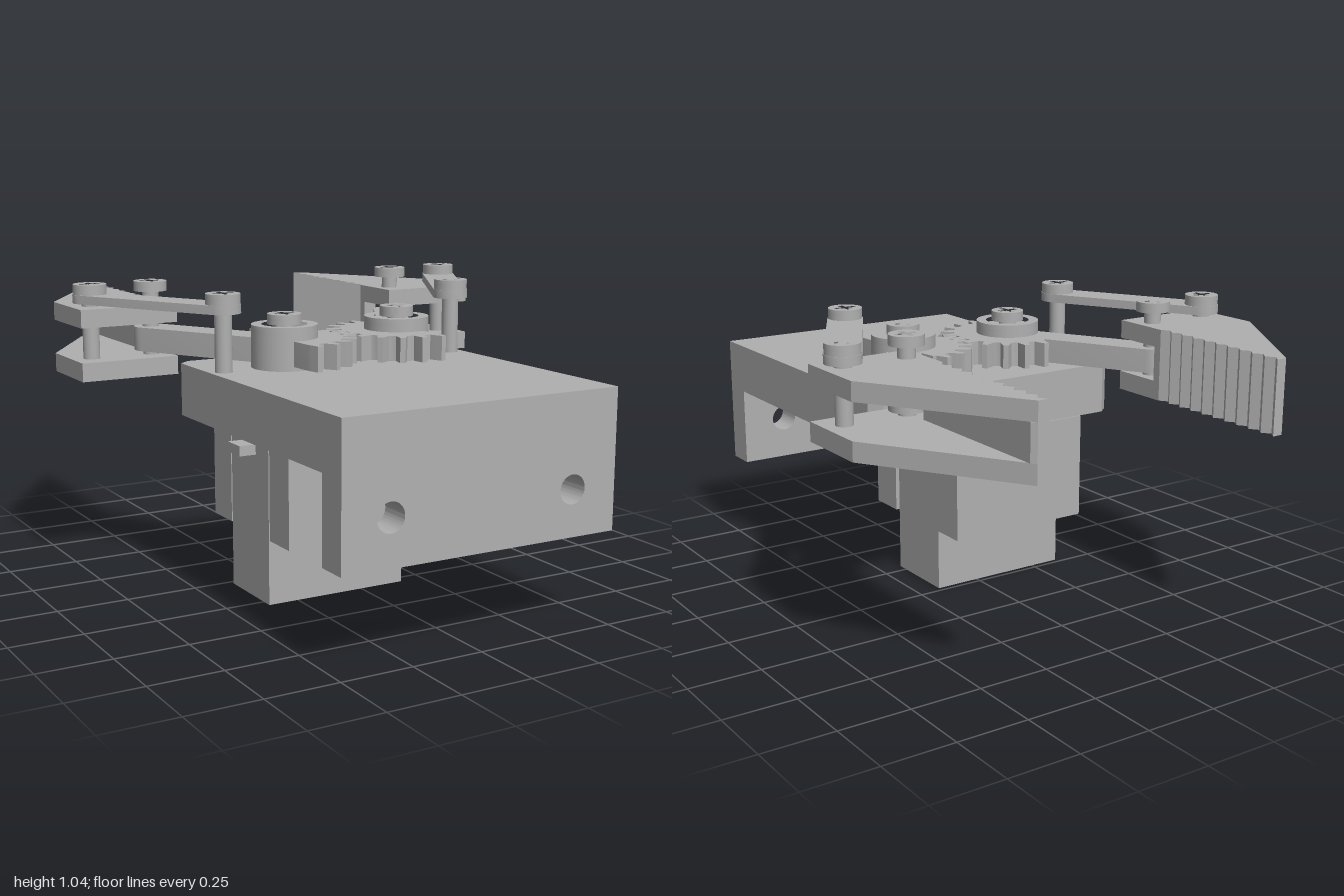
import * as THREE from 'three';
import { toCreasedNormals } from 'three/addons/utils/BufferGeometryUtils.js';

const grey = new THREE.MeshStandardMaterial({ color: 0xb0b0b0 });
grey.name = 'plain grey';

function add(parent, name, geometry) {
  const mesh = new THREE.Mesh(geometry, grey);
  mesh.name = name;
  parent.add(mesh);
  return mesh;
}

function box(parent, name, x0, x1, y0, y1, z0, z1) {
  const mesh = add(parent, name, new THREE.BoxGeometry(x1 - x0, y1 - y0, z1 - z0));
  mesh.position.set((x0 + x1) / 2, (y0 + y1) / 2, (z0 + z1) / 2);
}

function rod(parent, name, x, z, r, y0, y1) {
  const mesh = add(parent, name, new THREE.CylinderGeometry(r, r, y1 - y0, 32));
  mesh.position.set(x, (y0 + y1) / 2, z);
}

// Points are [x, z]; the slab is extruded upwards from y0 to y1
const toShape = (pts) => pts.map(([x, z]) => new THREE.Vector2(x, -z));

function slab(parent, name, pts, y0, y1, holes = []) {
  const shape = new THREE.Shape(toShape(pts));
  shape.holes = holes.map((h) => new THREE.Path(toShape(h)));
  const geo = new THREE.ExtrudeGeometry(shape, { depth: y1 - y0, bevelEnabled: false });
  geo.rotateX(-Math.PI / 2);
  geo.translate(0, y0, 0);
  return add(parent, name, toCreasedNormals(geo, 0.4));
}

function circle(x, z, r, n = 32) {
  return Array.from({ length: n }, (_, i) => {
    const a = (i / n) * Math.PI * 2;
    return [x + r * Math.cos(a), z + r * Math.sin(a)];
  });
}

// Bar with round ends between two pivots
function capsule([ax, az], [bx, bz], r) {
  const dir = Math.atan2(bz - az, bx - ax), pts = [];
  for (const [x, z, start] of [[bx, bz, dir - Math.PI / 2], [ax, az, dir + Math.PI / 2]])
    for (let i = 0; i <= 14; i++) {
      const a = start + (i / 14) * Math.PI;
      pts.push([x + r * Math.cos(a), z + r * Math.sin(a)]);
    }
  return pts;
}

// Screw head with a recessed cross slot
function screwHead(parent, x, z, y0, r = 0.058) {
  const l = 0.036, w = 0.009;
  const cross = [[w, w], [w, l], [-w, l], [-w, w], [-l, w], [-l, -w],
    [-w, -w], [-w, -l], [w, -l], [w, -w], [l, -w], [l, w]];
  rod(parent, 'screwHeadBase', x, z, r, y0, y0 + 0.015);
  slab(parent, 'screwHead', circle(x, z, r), y0 + 0.015, y0 + 0.035,
    [cross.map(([a, b]) => [x + a, z + b])]);
}

const GEAR = [0.222, 0.15], POST = [0.45, 0.15];
const INNER = [0.5, -0.335], OUTER = [0.725, -0.335];

// Toothed sector facing the centre line, in local coordinates towards -x
function gearSector(s, phase) {
  const pitch = Math.PI / 10, pts = [[0, 0]];
  const profile = [[-0.5, 0.196], [-0.31, 0.198], [-0.25, 0.212], [-0.12, 0.244],
    [0.12, 0.244], [0.25, 0.212], [0.31, 0.198]];
  for (let i = -5; i <= 5; i++)
    for (const [t, r] of profile) {
      const a = (i + t + phase) * pitch;
      pts.push([s * (GEAR[0] - r * Math.cos(a)), GEAR[1] + r * Math.sin(a)]);
    }
  pts[0] = [s * (GEAR[0] + 0.03), GEAR[1]];
  return pts;
}

function buildBase(model) {
  const base = new THREE.Group();
  base.name = 'base';
  model.add(base);

  // Top plate with chamfered back corners and pivot holes
  const holes = [];
  for (const s of [-1, 1])
    for (const [x, z] of [POST, GEAR]) holes.push(circle(s * x, z, 0.03, 24));
  slab(base, 'topPlate', [[-0.5, 1], [0.5, 1], [0.5, -0.08], [0.46, -0.115],
    [-0.46, -0.115], [-0.5, -0.08]], 0.6, 0.78, holes);

  // Front wall with two mounting holes
  const wall = new THREE.Shape([[-0.5, 0.315], [0.5, 0.315], [0.5, 0.6], [-0.5, 0.6]]
    .map(([x, y]) => new THREE.Vector2(x, y)));
  for (const x of [-0.333, 0.333])
    wall.holes.push(new THREE.Path().absarc(x, 0.47, 0.048, 0, Math.PI * 2, true));
  const wallGeo = new THREE.ExtrudeGeometry(wall, { depth: 0.108, bevelEnabled: false, curveSegments: 32 });
  wallGeo.translate(0, 0, 0.892);
  add(base, 'frontWall', toCreasedNormals(wallGeo, 0.4));

  // Motor and the two blocks that hold it
  box(base, 'backBlock', -0.36, 0.175, 0.225, 0.6, -0.12, 0.013);
  box(base, 'frontBlock', -0.36, 0.175, 0.225, 0.6, 0.297, 0.43);
  box(base, 'motorBody', -0.36, 0.165, 0, 0.583, 0.02, 0.29);
  box(base, 'motorEars', -0.42, 0.225, 0.5, 0.535, 0.112, 0.2);
  rod(base, 'motorHorn', -GEAR[0], GEAR[1], 0.1, 0.58, 0.602);
}

function buildSide(model, s) {
  const side = new THREE.Group();
  side.name = s > 0 ? 'leftGripper' : 'rightGripper';
  model.add(side);
  const m = ([x, z]) => [s * x, z];

  // Gear with its drive arm and recessed hub
  slab(side, 'gearSector', gearSector(s, s > 0 ? 0.5 : 0), 0.795, 0.88);
  slab(side, 'driveArm', capsule(m(GEAR), m(INNER), 0.06), 0.7955, 0.8795);
  rod(side, 'gearHub', ...m(GEAR), 0.113, 0.78, 0.9);
  slab(side, 'hubRim', circle(...m(GEAR), 0.113), 0.9, 0.925, [circle(...m(GEAR), 0.078)]);
  rod(side, 'gearPin', ...m(GEAR), 0.03, 0.64, 0.925);
  screwHead(side, ...m(GEAR), 0.925);

  // Outer link on its post
  rod(side, 'linkPost', ...m(POST), 0.029, 0.64, 0.98);
  slab(side, 'outerLink', capsule(m(POST), m(OUTER), 0.06), 0.975, 1.005);
  screwHead(side, ...m(POST), 1.005);

  // Jaw plates with a serrated inner edge
  const teeth = [], wallTeeth = [[0.492, -0.985], [0.492, -0.42], [0.44, -0.42]];
  for (let i = 0; i <= 20; i++)
    teeth.push([i % 2 ? 0.46 : 0.44, -0.45 - i * 0.0275]);
  const outline = [[0.795, -0.24], [0.44, -0.24], ...teeth, [0.477, -1], [0.795, -0.51]].map(m);
  slab(side, 'upperJawPlate', outline, 0.9, 0.963);
  slab(side, 'lowerJawPlate', outline, 0.715, 0.78);
  slab(side, 'gripWall', [...wallTeeth, ...teeth, [0.477, -1]].map(m), 0.78, 0.9);

  // Jaw pivots
  for (const p of [INNER, OUTER]) {
    rod(side, 'jawPin', ...m(p), 0.029, 0.705, 1.005);
    screwHead(side, ...m(p), 1.005);
  }
}

export function createModel() {
  const model = new THREE.Group();
  model.name = 'gearedGripper';
  buildBase(model);
  for (const s of [-1, 1]) buildSide(model, s);
  return model;
}
